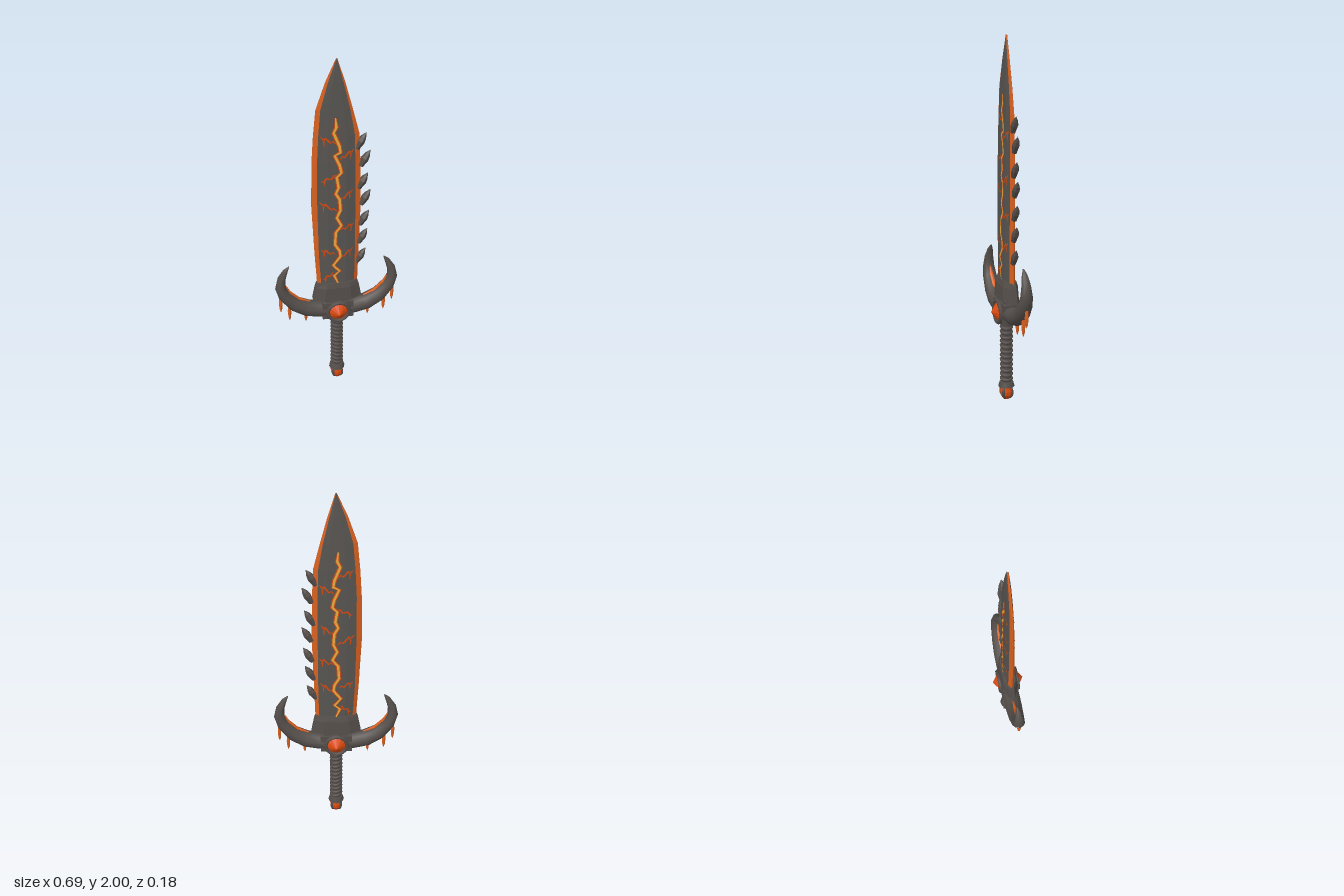
import * as THREE from 'three';
import { toCreasedNormals } from 'three/addons/utils/BufferGeometryUtils.js';

const mat = (name, color, side = THREE.FrontSide) => {
  const m = new THREE.MeshStandardMaterial({ color, side });
  m.name = name;
  return m;
};

// Skin over a list of rings; keep() picks the columns to build
function loft(rings, { keep = () => true, caps = false } = {}) {
  const pos = [];
  const tri = (...pts) => pts.forEach(p => pos.push(...p));
  const n = rings[0].length;
  for (let i = 0; i < rings.length - 1; i++) {
    for (let j = 0; j < n; j++) {
      if (!keep(j)) continue;
      const k = (j + 1) % n;
      const a = rings[i][j], b = rings[i][k], c = rings[i + 1][k], d = rings[i + 1][j];
      tri(a, b, c);
      tri(a, c, d);
    }
  }
  if (caps) {
    const lo = rings[0], hi = rings[rings.length - 1];
    for (let j = 1; j < n - 1; j++) {
      tri(lo[0], lo[j + 1], lo[j]);
      tri(hi[0], hi[j], hi[j + 1]);
    }
  }
  const g = new THREE.BufferGeometry();
  g.setAttribute('position', new THREE.Float32BufferAttribute(pos, 3));
  g.computeVertexNormals();
  return g;
}

// Blade rows: y, left edge, left bevel, right bevel, right edge, half thickness
const ROWS = [
  [0.66, -0.108, -0.088, 0.094, 0.114, 0.028],
  [0.9, -0.122, -0.101, 0.097, 0.12, 0.026],
  [1.2, -0.135, -0.106, 0.097, 0.128, 0.024],
  [1.45, -0.13, -0.104, 0.094, 0.122, 0.021],
  [1.6, -0.12, -0.096, 0.09, 0.115, 0.018],
  [1.74, -0.106, -0.084, 0.065, 0.079, 0.015],
  [1.88, -0.057, -0.045, 0.032, 0.041, 0.011],
  [2.0, -0.002, -0.001, 0.001, 0.002, 0.004],
];
const section = ([, xl, bl, br, xr, t]) => [
  [xl, 0.003], [bl, 0.6 * t], [bl * 0.5, t], [br * 0.5, t], [br, 0.6 * t], [xr, 0.003],
];

// Height of the blade face at a point
function faceZ(x, y) {
  let i = 0;
  while (i < ROWS.length - 2 && ROWS[i + 1][0] < y) i++;
  const f = (y - ROWS[i][0]) / (ROWS[i + 1][0] - ROWS[i][0]);
  const s = section(ROWS[i].map((v, k) => THREE.MathUtils.lerp(v, ROWS[i + 1][k], f)));
  for (let k = 0; k < 5; k++) {
    if (x <= s[k + 1][0]) {
      return THREE.MathUtils.lerp(s[k][1], s[k + 1][1], Math.max(0, (x - s[k][0]) / (s[k + 1][0] - s[k][0])));
    }
  }
  return 0.003;
}

// Thin strip lying on the front (side 1) or back (side -1) of the blade
function ribbon(path, width, lift, side) {
  const last = path.length - 1;
  const edges = path.map(([x, y], i) => {
    const [ax, ay] = path[Math.max(0, i - 1)], [bx, by] = path[Math.min(last, i + 1)];
    const len = Math.hypot(bx - ax, by - ay);
    const w = width * (i === 0 || i === last ? 0.2 : 0.5);
    const dx = -(by - ay) / len * w, dy = (bx - ax) / len * w;
    const at = (px, py) => [px, py, side * (faceZ(px, py) + lift)];
    return side > 0 ? [at(x - dx, y - dy), at(x + dx, y + dy)] : [at(x + dx, y + dy), at(x - dx, y - dy)];
  });
  return loft(edges, { keep: j => j === 0 });
}

export function createModel() {
  const root = new THREE.Group();
  root.name = 'moltenSword';
  const steel = mat('bladeSteel', 0x575451);
  const iron = mat('darkIron', 0x544e4a);
  const edge = mat('moltenEdge', 0xd8601f);
  const gem = mat('emberGem', 0xdb4a10);
  const crack = mat('crackOrange', 0xcf4a12, THREE.DoubleSide);
  const glow = mat('crackGlow', 0xf6b544, THREE.DoubleSide);
  const add = (name, geo, material, parent = root) => {
    const m = new THREE.Mesh(geo, material);
    m.name = name;
    parent.add(m);
    return m;
  };

  // Blade: dark faces and molten bevels share one set of rings
  const rings = ROWS.map(r => {
    const s = section(r);
    return [...s.slice().reverse().map(([x, z]) => [x, r[0], -z]), ...s.map(([x, z]) => [x, r[0], z])];
  });
  const isFace = j => [1, 2, 3, 7, 8, 9].includes(j);
  add('bladeFaces', loft(rings, { keep: isFace }), steel);
  add('bladeEdges', loft(rings, { keep: j => !isFace(j) }), edge);

  // Glowing cracks on both faces
  const mainCrack = [
    [-0.01, 1.7], [-0.005, 1.65], [-0.02, 1.62], [0.01, 1.545], [0.015, 1.51], [-0.015, 1.495],
    [0.01, 1.44], [0.02, 1.395], [-0.005, 1.37], [0.005, 1.31], [-0.01, 1.275], [0.01, 1.24],
    [0.015, 1.175], [-0.005, 1.13], [0.02, 1.08], [-0.01, 1.04], [-0.015, 0.963], [0.01, 0.92],
    [0.015, 0.884], [-0.025, 0.83], [0.01, 0.788], [-0.02, 0.762], [0.005, 0.7],
  ];
  const branches = [
    [-0.01, 1.56, -0.085, 1.6], [0.012, 1.47, 0.085, 1.52], [-0.005, 1.38, -0.085, 1.35],
    [0.01, 1.23, 0.08, 1.29], [-0.005, 1.17, -0.095, 1.23], [0.015, 1.05, 0.09, 1.085],
    [-0.015, 0.9, -0.09, 0.935], [0.01, 0.87, 0.085, 0.93], [-0.02, 0.78, -0.08, 0.74],
  ];
  for (const side of [1, -1]) {
    add('mainCrack', ribbon(mainCrack, 0.024, 0.002, side), crack);
    add('crackCore', ribbon(mainCrack, 0.013, 0.0032, side), glow);
    for (const [x0, y0, x1, y1] of branches) {
      const path = [];
      for (let i = 0; i <= 6; i++) {
        path.push([x0 + (x1 - x0) * i / 6, y0 + (y1 - y0) * i / 6 + [0, 0.008, -0.007][i % 3]]);
      }
      add('sideCrack', ribbon(path, 0.01, 0.002, side), crack);
      const [fx, fy] = path[4];
      const fork = [[fx, fy], [fx + (x1 - x0) * 0.12, fy - 0.02], [fx + (x1 - x0) * 0.1, fy - 0.045]];
      add('crackFork', ribbon(fork, 0.008, 0.002, side), crack);
    }
  }

  // Row of spikes along the blade's left edge: tip x, tip y
  const spikeGeo = new THREE.LatheGeometry(
    [[0, 0], [0.014, 0], [0.021, 0.045], [0.015, 0.07], [0, 0.1]].map(p => new THREE.Vector2(...p)), 6).toNonIndexed();
  spikeGeo.computeVertexNormals();
  for (const [x, y] of [[0.153, 1.6], [0.175, 1.5], [0.165, 1.37], [0.18, 1.27], [0.175, 1.145], [0.168, 1.03], [0.16, 0.905]]) {
    const spike = add('edgeSpike', spikeGeo, iron);
    spike.position.set(x - 0.051, y - 0.086, 0);
    spike.rotation.z = -0.53;
  }

  // Collar at the foot of the blade
  const collarRing = (y, w, z) => [
    [w, y, z * 0.35], [w, y, -z * 0.35], [w * 0.55, y, -z], [-w * 0.55, y, -z],
    [-w, y, -z * 0.35], [-w, y, z * 0.35], [-w * 0.55, y, z], [w * 0.55, y, z],
  ];
  add('bladeCollar', loft([collarRing(0.6, 0.137, 0.046), collarRing(0.68, 0.122, 0.042), collarRing(0.71, 0.113, 0.034)], { caps: true }), iron);
  add('guardNeck', new THREE.BoxGeometry(0.13, 0.05, 0.07), iron).position.y = 0.585;
  add('guardBlock', new THREE.BoxGeometry(0.175, 0.105, 0.09), iron).position.y = 0.53;

  // Guard horns: x, y, radius along the curve
  const horn = [
    [0, 0.525, 0.046], [0.1, 0.525, 0.046], [0.17, 0.54, 0.046], [0.24, 0.58, 0.042], [0.295, 0.645, 0.036],
    [0.315, 0.7, 0.03], [0.308, 0.755, 0.023], [0.285, 0.805, 0.014], [0.265, 0.833, 0.003],
  ];
  const sweep = (from, to, sides, shape) => {
    const out = [];
    for (let i = from; i <= to; i++) {
      const [x, y, r] = horn[i];
      const a = horn[Math.max(0, i - 1)], b = horn[Math.min(horn.length - 1, i + 1)];
      const len = Math.hypot(b[0] - a[0], b[1] - a[1]);
      const nx = -(b[1] - a[1]) / len, ny = (b[0] - a[0]) / len;
      out.push(Array.from({ length: sides }, (_, j) => {
        const [u, z] = shape(j / sides * Math.PI * 2, r, i);
        return [x + nx * u, y + ny * u, z];
      }));
    }
    return loft(out, { caps: true });
  };
  const hornGeo = toCreasedNormals(sweep(0, 8, 10, (a, r) => [r * Math.cos(a), r * 1.08 * Math.sin(a)]), 0.75);
  const veinGeo = sweep(2, 5, 6, (a, r, i) => {
    const w = i === 2 || i === 5 ? 0.004 : 0.011;
    return [r * 0.98 + 0.006 * Math.cos(a), w * Math.sin(a)];
  });
  const dripGeo = new THREE.LatheGeometry(
    [[0, -0.1], [0.008, -0.075], [0.011, -0.04], [0.009, 0]].map(p => new THREE.Vector2(...p)), 6).toNonIndexed();
  dripGeo.computeVertexNormals();
  for (const turn of [0, Math.PI]) {
    const half = new THREE.Group();
    half.name = turn ? 'rightGuard' : 'leftGuard';
    half.rotation.y = turn;
    root.add(half);
    add('horn', hornGeo, iron, half);
    add('hornVein', veinGeo, edge, half);
    for (const [x, y] of [[0.318, 0.628], [0.27, 0.565], [0.178, 0.543]]) {
      add('lavaDrip', dripGeo, edge, half).position.set(x, y, 0);
    }
  }

  // Round boss with a pointed gem on each face
  const boss = new THREE.CylinderGeometry(0.066, 0.066, 0.106, 16).rotateX(Math.PI / 2);
  add('guardBoss', boss, iron).position.y = 0.525;
  const cone = new THREE.ConeGeometry(0.052, 0.037, 12).toNonIndexed();
  cone.computeVertexNormals();
  for (const s of [1, -1]) {
    add('bossRim', new THREE.TorusGeometry(0.06, 0.011, 6, 20), iron).position.set(0, 0.525, s * 0.052);
    const g = add('bossGem', cone, gem);
    g.position.set(0, 0.525, s * 0.0705);
    g.rotation.x = s * Math.PI / 2;
  }

  // Wrapped grip
  const grip = add('gripCore', new THREE.CylinderGeometry(0.031, 0.029, 0.4, 12), iron);
  grip.position.y = 0.28;
  const wrapGeo = new THREE.TorusGeometry(0.028, 0.0095, 6, 16).rotateX(Math.PI / 2);
  for (let i = 0; i < 12; i++) {
    const wrap = add('gripWrap', wrapGeo, iron);
    wrap.position.y = 0.13 + i * 0.0275;
    wrap.rotation.z = -0.16;
  }
  add('gripTopRing', new THREE.CylinderGeometry(0.044, 0.038, 0.03, 12), iron).position.y = 0.463;
  add('gripBottomRing', new THREE.CylinderGeometry(0.038, 0.046, 0.028, 12), iron).position.y = 0.098;

  // Pommel gem held by four prongs
  const pommel = new THREE.LatheGeometry(
    [[0, 0], [0.02, 0.01], [0.035, 0.035], [0.037, 0.055], [0.03, 0.088]].map(p => new THREE.Vector2(...p)), 10).toNonIndexed();
  pommel.computeVertexNormals();
  add('pommelGem', pommel, gem);
  const prongGeo = new THREE.TorusGeometry(0.037, 0.008, 6, 8, 2.0).rotateZ(-1.2);
  for (let i = 0; i < 4; i++) {
    const prong = add('pommelProng', prongGeo, iron);
    prong.position.y = 0.05;
    prong.rotation.y = Math.PI / 4 + i * Math.PI / 2;
  }
  return root;
}
